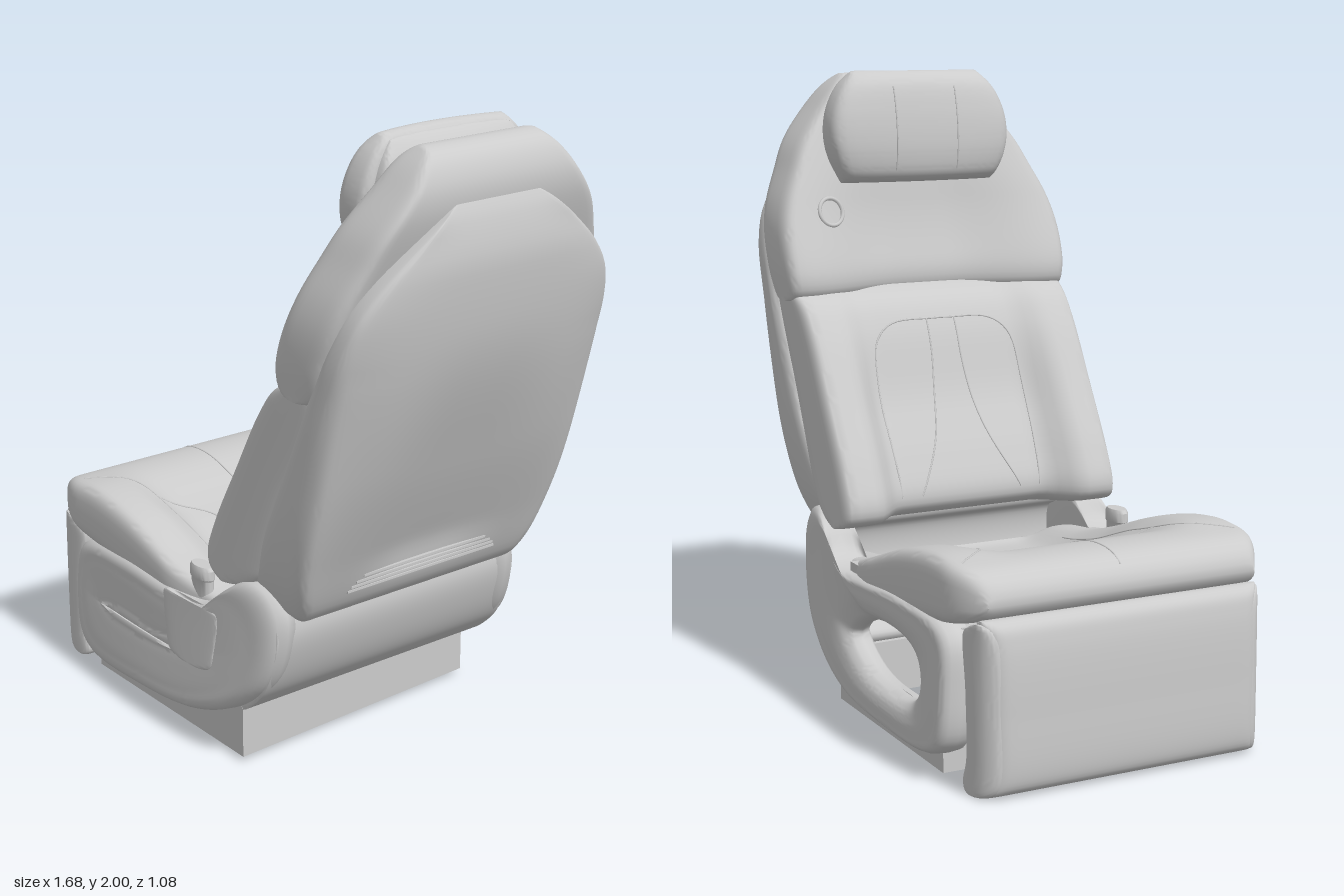
import * as THREE from 'three';
import { toCreasedNormals } from 'three/addons/utils/BufferGeometryUtils.js';
import { ParametricGeometry } from 'three/addons/geometries/ParametricGeometry.js';

const material = new THREE.MeshStandardMaterial({ color: 0xcccccc });
const { clamp, smoothstep } = THREE.MathUtils;

// Evenly spaced points on a smooth closed curve through a few points
const outline = (pts, n) =>
  new THREE.CatmullRomCurve3(pts.map(([x, y]) => new THREE.Vector3(x, y, 0)), true, 'centripetal').getSpacedPoints(n);

// Smooth function through a few [input, output] rows
function smoothTable(rows) {
  const f = new THREE.CubicInterpolant(rows.map((r) => r[0]), rows.map((r) => r[1]), 1);
  return (t) => f.evaluate(t)[0];
}

// 1 at the middle of the seat, fading to 0 between a and b
const middle = (z, a, b) => 1 - smoothstep(Math.abs(z), a, b);

function add(group, name, geo) {
  const mesh = new THREE.Mesh(geo, material);
  mesh.name = name;
  group.add(mesh);
  return mesh;
}

// Closed surface from a grid of points, turned to face outwards
function surface(nu, nv, point) {
  const at = (u, v, target) => point(Math.round(u * nu), Math.round(v * nv), target);
  const geo = new ParametricGeometry(at, nu, nv);
  const p = geo.attributes.position, idx = geo.index.array;
  const [a, b, c] = [0, 1, 2].map(() => new THREE.Vector3());
  let volume = 0;
  for (let i = 0; i < idx.length; i += 3) {
    a.fromBufferAttribute(p, idx[i]);
    b.fromBufferAttribute(p, idx[i + 1]);
    c.fromBufferAttribute(p, idx[i + 2]);
    volume += a.dot(b.cross(c));
  }
  if (volume < 0) idx.reverse();
  return toCreasedNormals(geo, 0.9);
}

// Section across a pad: [k, z] with k = -1 at the front face and 1 at the rear face
function section(w, r) {
  const pts = [], soft = (t) => Math.sign(t) * Math.abs(t) ** 0.55;
  for (let i = 0; i < 32; i++) pts.push([-1, (w - r) * (i / 16 - 1)]);
  for (let i = 0; i <= 16; i++) {
    const t = Math.PI * (i / 16 - 0.5);
    pts.push([soft(Math.sin(t)), w - r + r * soft(Math.max(0, Math.cos(t)))]);
  }
  return [...pts, ...pts.map(([k, z]) => [-k, -z]), pts[0]];
}

// Padded part: side profile (first point is one end) with half-width w and edge radius r, reshaped by a rule
function pad(group, name, profile, w, r, rule) {
  const n = 50, ring = outline(profile, 2 * n), cut = section(w, r);
  return add(group, name, surface(cut.length - 1, n, (i, j, v) => {
    const [k, z] = cut[i];
    v.lerpVectors(ring[j], ring[2 * n - j], (k + 1) / 2).setZ(z);
    if (rule) rule(v);
  }));
}

// Side panel: a rounded band between an outer outline and an opening, whose lip sinks by a depth
function panel(group, name, outer, opening, sign, lip, rule) {
  const n = 120, a = outline(outer, n), b = outline(opening, n);
  const band = outline([[0, 0.48], [0.02, 0.515], [0.1, 0.535], [0.3, 0.538], [0.6, 0.536], [0.88, 0.535 - lip * 0.35],
    [1, 0.535 - lip], [1, 0.46], [0.9, 0.435], [0.5, 0.43], [0.1, 0.43], [0.02, 0.445]], 48);
  return add(group, name, surface(48, n, (i, j, v) => {
    v.lerpVectors(a[j], b[j], clamp(band[i].x, 0, 1)).setZ(band[i].y * sign);
    rule(v);
  }));
}

// First surface point of a mesh along a direction
function hit(mesh, origin, dir) {
  mesh.updateMatrixWorld();
  return new THREE.Raycaster(new THREE.Vector3(...origin), new THREE.Vector3(...dir)).intersectObject(mesh)[0];
}

// Thin stitched seam laid on a pad
function seam(group, mesh, pts, dir) {
  const path = new THREE.CatmullRomCurve3(pts.map((p) => new THREE.Vector3(...p))).getPoints(24)
    .map((p) => hit(mesh, p.toArray(), dir)).filter(Boolean).map((h) => h.point);
  if (path.length > 2)
    add(group, 'seam', new THREE.TubeGeometry(new THREE.CatmullRomCurve3(path), 40, 0.003, 6));
}

export function createModel() {
  const seat = new THREE.Group();
  seat.name = 'recliningSeat';

  // Open plinth frame
  const quad = (T, pts) => new T(pts.map((p) => new THREE.Vector2(...p)));
  const frame = quad(THREE.Shape, [[-0.58, -0.475], [0.23, -0.475], [0.19, 0.455], [-0.58, 0.475]]);
  frame.holes.push(quad(THREE.Path, [[-0.56, -0.455], [0.21, -0.455], [0.17, 0.435], [-0.56, 0.455]]));
  const plinth = new THREE.ExtrudeGeometry(frame, { depth: 0.17, bevelEnabled: false });
  plinth.rotateX(-Math.PI / 2).translate(0, 0.02, 0);
  add(seat, 'plinth', plinth);

  // Side panels; the one at -z has a hand opening, the other only a shallow dish
  const side = [[-0.67, 0.3], [-0.655, 0.43], [-0.6, 0.475], [-0.35, 0.5], [-0.12, 0.49], [0.05, 0.485], [0.14, 0.52],
    [0.2, 0.59], [0.28, 0.635], [0.36, 0.62], [0.41, 0.55], [0.405, 0.43], [0.35, 0.3], [0.22, 0.19],
    [0.02, 0.11], [-0.25, 0.08], [-0.58, 0.08], [-0.65, 0.13]];
  const opening = [[-0.48, 0.27], [-0.43, 0.35], [-0.28, 0.385], [-0.12, 0.36], [-0.01, 0.29], [-0.12, 0.22], [-0.3, 0.19], [-0.44, 0.205]];
  const bow = (v) => { v.z *= 1 - 0.05 * ((v.x + 0.2) / 0.55) ** 2 - 0.03 * smoothstep(v.y, 0.1, 0.6); };
  panel(seat, 'leftSidePanel', side, opening.map(([x, y]) => [x, 0.29 + (y - 0.29) * 0.01]), 1, 0.008, bow);
  panel(seat, 'rightSidePanel', side, opening, -1, 0.045, bow);

  // Curved rear skirt and inner front wall between the panels
  pad(seat, 'rearSkirt', [[0.21, 0.185], [0.225, 0.18], [0.33, 0.27], [0.39, 0.4], [0.405, 0.5], [0.38, 0.57], [0.3, 0.6],
    [0.3, 0.56], [0.35, 0.53], [0.36, 0.42], [0.31, 0.31], [0.2, 0.21]], 0.475, 0.005);
  add(seat, 'frontWall', new THREE.BoxGeometry(0.04, 0.34, 0.88).translate(-0.61, 0.29, 0));

  // Control panel with cup on the left side
  pad(seat, 'cupHolderPanel', [[0.02, 0.277], [-0.04, 0.278], [-0.085, 0.295], [-0.1, 0.35], [-0.115, 0.48], [-0.03, 0.475],
    [0.09, 0.475], [0.15, 0.48], [0.14, 0.35], [0.125, 0.295], [0.08, 0.278]], 0.01, 0.006, (v) => {
    v.z += 0.531;
    bow(v);
  });
  const cup = [[0, 0.45], [0.046, 0.45], [0.048, 0.54], [0.053, 0.545], [0.053, 0.575], [0.045, 0.586], [0, 0.586]];
  const cupGeo = new THREE.LatheGeometry(cup.map((p) => new THREE.Vector2(...p)), 28).scale(1, 1, 0.55);
  add(seat, 'cup', toCreasedNormals(cupGeo, 0.6)).position.set(0, 0, 0.455);
  add(seat, 'buckle', new THREE.BoxGeometry(0.09, 0.06, 0.03).translate(-0.01, 0.48, -0.47));

  // Seat cushion with raised side bolsters
  const cushion = pad(seat, 'seatCushion', [[-0.8, 0.56], [-0.785, 0.61], [-0.74, 0.645], [-0.65, 0.663], [-0.54, 0.668],
    [-0.35, 0.638], [-0.1, 0.555], [0.05, 0.51], [0.28, 0.47], [0.3, 0.42], [0.2, 0.39], [-0.15, 0.42], [-0.5, 0.46],
    [-0.66, 0.485], [-0.78, 0.525]], 0.51, 0.07, (v) => {
    const top = smoothstep(v.y, 0.44, 0.56 - 0.06 * smoothstep(v.x, -0.3, 0.1));
    v.y -= 0.055 * top * middle(v.z, 0.25, 0.4) * smoothstep(v.x, -0.7, -0.35);
    v.z *= 1 - 0.08 * smoothstep(v.x, -0.15, 0.1) - 0.13 * clamp((-v.x - 0.64) / 0.16, 0, 1) ** 2;
  });
  const down = [0, -1, 0];
  seam(seat, cushion, [[-0.77, 1, 0.001], [-0.3, 1, 0.001], [0.13, 1, 0.001]], down);
  for (const s of [-1, 1]) {
    seam(seat, cushion, [[0.13, 1, 0.17 * s], [-0.1, 1, 0.16 * s], [-0.32, 1, 0.18 * s], [-0.45, 1, 0.32 * s]], down);
    seam(seat, cushion, [[0.1, 1, 0.31 * s], [-0.3, 1, 0.31 * s], [-0.55, 1, 0.34 * s], [-0.67, 1, 0.46 * s]], down);
  }

  // Leg rest: padded front with a hollow rim behind
  const leg = new THREE.Group();
  leg.name = 'legRest';
  seat.add(leg);
  const roundFront = (v) => { v.z *= 1 - 0.08 * clamp((-v.x - 0.75) / 0.09, 0, 1) ** 2; };
  pad(leg, 'legRestPad', [[-0.78, 0.52], [-0.815, 0.5], [-0.83, 0.45], [-0.84, 0.26], [-0.83, 0.035], [-0.8, 0.01], [-0.77, 0.008],
    [-0.735, 0.015], [-0.73, 0.06], [-0.745, 0.26], [-0.73, 0.46], [-0.74, 0.505]], 0.462, 0.06, roundFront);
  for (const s of [-1, 1]) {
    pad(leg, 'legRestCheek', [[-0.77, 0.51], [-0.8, 0.505], [-0.82, 0.47], [-0.832, 0.26], [-0.825, 0.04], [-0.8, 0.012], [-0.74, 0.003],
      [-0.69, 0.008], [-0.675, 0.03], [-0.695, 0.1], [-0.69, 0.3], [-0.675, 0.465], [-0.7, 0.485]], 0.033, 0.025, (v) => {
      v.z += 0.437 * s;
      roundFront(v);
    });
  }
  for (const y of [0.03, 0.465]) add(leg, 'legRestRim', new THREE.BoxGeometry(0.1, 0.04, 0.86).translate(-0.735, y, 0));

  // Back shell, crowned across the rear and hollowed low in the middle
  const shellWidth = smoothTable([[0.54, 0.43], [0.65, 0.47], [0.8, 0.495], [1.05, 0.505], [1.3, 0.505], [1.45, 0.495], [1.56, 0.46],
    [1.65, 0.39], [1.73, 0.3], [1.8, 0.21], [1.86, 0.12]]);
  const shell = pad(seat, 'backShell', [[0.36, 0.61], [0.26, 0.66], [0.31, 0.74], [0.57, 1.28], [0.69, 1.58], [0.76, 1.81], [0.785, 1.85], [0.805, 1.83],
    [0.835, 1.7], [0.83, 1.6], [0.785, 1.35], [0.69, 1.05], [0.56, 0.75], [0.47, 0.56], [0.44, 0.54]], 0.5, 0.05, (v) => {
    const rear = clamp((v.x - 0.3 - (v.y - 0.62) * 0.45) / 0.15, 0, 1);
    const low = smoothstep(v.y, 0.6, 0.75) * (1 - smoothstep(v.y, 1, 1.5));
    v.x -= rear * (0.025 * middle(v.z, 0.05, 0.35) * low + 0.07 * smoothstep(v.y, 0.6, 1.3) * (v.z / 0.5) ** 4);
    v.z *= shellWidth(v.y) / 0.5;
  });

  // Slotted vent low on the back
  [[0.625, 0.29], [0.64, 0.28], [0.655, 0.265], [0.672, 0.24]].forEach(([y, w]) => {
    const x = hit(shell, [2, y, 0.2], [-1, 0, 0]).point.x;
    add(seat, 'ventBar', new THREE.BoxGeometry(0.02, 0.007, 2 * w).translate(x - 0.005, y, 0));
  });

  // Lower back pad with side bolsters and recessed middle
  const lower = pad(seat, 'lowerBackPad', [[0.15, 0.59], [0.06, 0.62], [0.05, 0.665], [0.09, 0.77], [0.2, 0.97], [0.32, 1.18],
    [0.39, 1.265], [0.46, 1.3], [0.56, 1.31], [0.61, 1.27], [0.47, 0.97], [0.35, 0.71], [0.28, 0.62]],
  0.49, 0.05, (v) => {
    const front = clamp((0.3 + (v.y - 0.62) * 0.45 - v.x) / 0.18, 0, 1);
    v.x += 0.1 * front * middle(v.z, 0.25, 0.38) * (1 - 0.6 * smoothstep(v.y, 0.9, 1.28));
  });
  const rearward = [1, 0, 0];
  for (const s of [-1, 1]) {
    seam(seat, lower, [[-1, 0.66, 0.18 * s], [-1, 0.85, 0.09 * s], [-1, 1.05, 0.055 * s], [-1, 1.2, 0.05 * s]], rearward);
    seam(seat, lower, [[-1, 0.66, 0.25 * s], [-1, 1.0, 0.26 * s], [-1, 1.14, 0.24 * s], [-1, 1.19, 0.18 * s], [-1, 1.2, 0.001 * s]], rearward);
  }

  // Upper back with forward wings
  const upperWidth = smoothTable([[1.28, 0.5], [1.38, 0.51], [1.5, 0.505], [1.58, 0.485], [1.68, 0.44], [1.77, 0.395], [1.88, 0.31], [1.95, 0.25], [2, 0.19]]);
  const upperRear = smoothTable([[1.27, 0.6], [1.6, 0.72], [1.83, 0.8], [2, 0.82]]);
  const upper = pad(seat, 'upperBackPad', [[0.51, 1.27], [0.435, 1.285], [0.42, 1.34], [0.5, 1.58], [0.61, 1.86], [0.655, 1.965],
    [0.7, 1.99], [0.76, 1.97], [0.795, 1.91], [0.8, 1.83], [0.73, 1.6], [0.67, 1.43], [0.6, 1.28]], 0.5, 0.06, (v) => {
    const c = middle(v.z, 0.1, 0.44);
    v.x += 0.08 * clamp((upperRear(v.y) - v.x) / 0.15, 0, 1) * c * (1 - smoothstep(v.y, 1.4, 1.9));
    v.z *= upperWidth(v.y) / 0.5;
  });

  // Round speaker ring on the right wing
  const spot = hit(upper, [-1, 1.55, -0.33], rearward);
  const ring = add(seat, 'speakerRing', new THREE.TorusGeometry(0.045, 0.007, 8, 28));
  ring.position.copy(spot.point);
  ring.lookAt(spot.point.clone().add(spot.face.normal));

  // Headrest pillow, wrapped around the head, with its rear cover
  const headWidth = smoothTable([[1.64, 0.85], [1.72, 0.96], [1.8, 1], [1.88, 0.96], [1.95, 0.85], [2, 0.7]]);
  const wrap = (v) => {
    v.x += 0.03 * (v.z / 0.32) ** 2;
    v.z = v.z * headWidth(v.y) - 0.01;
  };
  const head = pad(seat, 'headrest', [[0.5, 1.64], [0.455, 1.66], [0.435, 1.73], [0.445, 1.88], [0.475, 1.97], [0.52, 2],
    [0.555, 1.985], [0.57, 1.9], [0.565, 1.78], [0.545, 1.68]], 0.32, 0.07, wrap);
  pad(seat, 'headrestCover', [[0.55, 1.7], [0.52, 1.75], [0.52, 1.9], [0.55, 1.985], [0.59, 1.95], [0.61, 1.9], [0.605, 1.8], [0.58, 1.72]], 0.29, 0.07, wrap);
  for (const z of [-0.12, 0.1]) seam(seat, head, [[-1, 1.68, z], [-1, 1.8, z], [-1, 1.95, z]], rearward);

  return seat;
}
